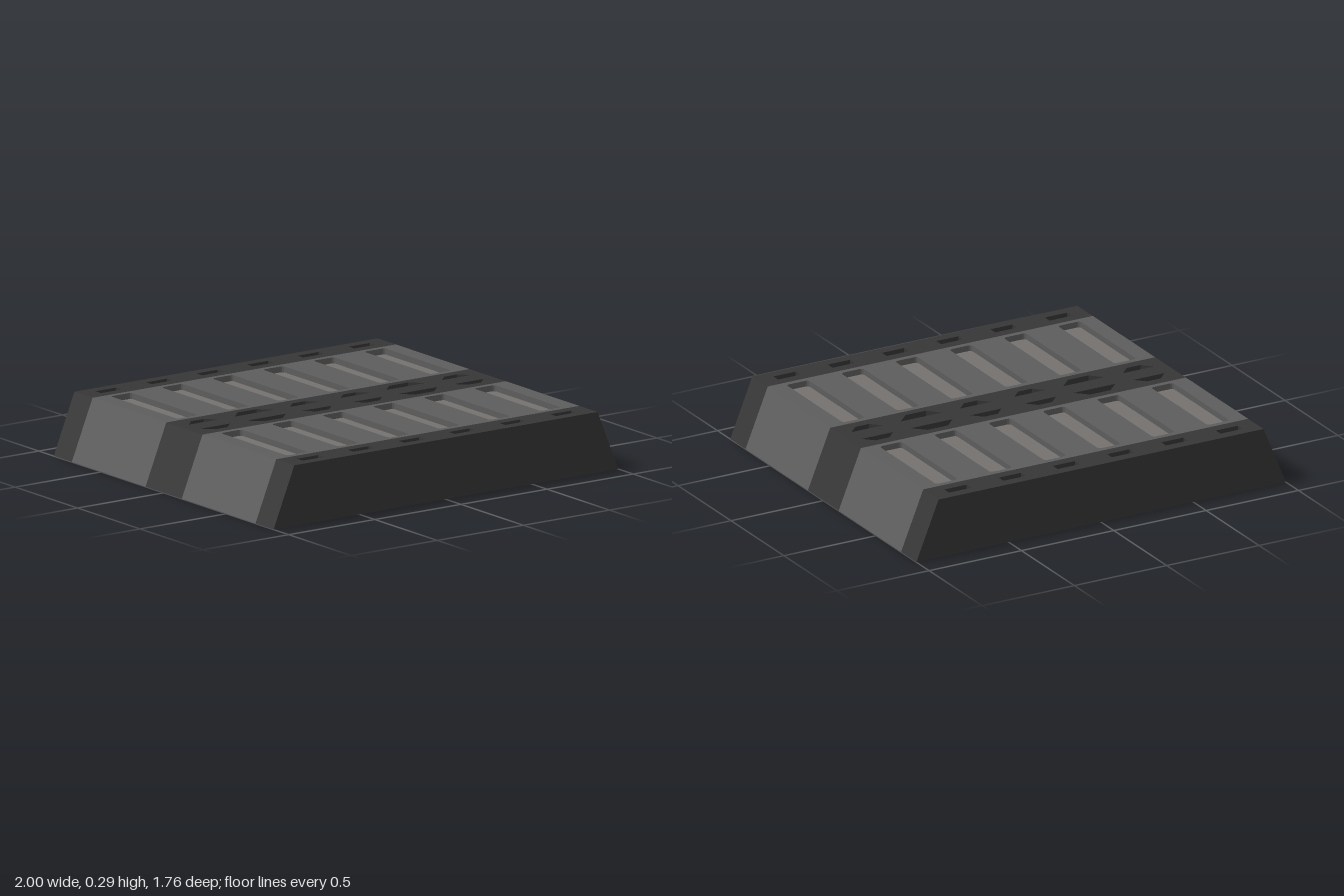
import * as THREE from 'three';

const H = 0.294, DEPTH = 0.03;       // total height, recess depth
const TOP = 0.88, BASE = 1;          // half widths at top and base
const LEDGE = TOP + (BASE - TOP) * DEPTH / H; // half width at recess floor level
const COLUMNS = [-0.735, -0.44, -0.147, 0.147, 0.44, 0.735];

const dark = new THREE.MeshStandardMaterial({ color: 0x363636, flatShading: true });
const light = new THREE.MeshStandardMaterial({ color: 0x5d5d5d, flatShading: true });
const floorMat = new THREE.MeshStandardMaterial({ color: 0x74716f, flatShading: true });

// Plan-view shape from [x, z] corners, always counter-clockwise
function polygon(corners) {
  const pts = corners.map(([x, z]) => new THREE.Vector2(x, -z));
  return new THREE.Shape(THREE.ShapeUtils.isClockWise(pts) ? pts.reverse() : pts);
}

// Rectangle with small rounded corners
function slot(cx, z0, z1, w, r) {
  const pts = [];
  const cz = (z0 + z1) / 2, hx = w / 2 - r, hz = (z1 - z0) / 2 - r;
  [[1, 1], [-1, 1], [-1, -1], [1, -1]].forEach(([sx, sz], q) => {
    for (let i = 0; i <= 3; i++) {
      const a = (q + i / 3) * Math.PI / 2;
      pts.push([cx + sx * hx + r * Math.cos(a), cz + sz * hz + r * Math.sin(a)]);
    }
  });
  return polygon(pts);
}

const rect = (x0, x1, z0, z1) => polygon([[x0, z0], [x1, z0], [x1, z1], [x0, z1]]);

// Half-hexagon recess, wide edge towards the centre line
function halfHex(cx, side, large) {
  const inner = large ? 0.113 : 0.085, outer = large ? 0.055 : 0.037;
  const z0 = 0.048 * side, z1 = (large ? 0.105 : 0.096) * side;
  return polygon([[cx - inner, z0], [cx + inner, z0], [cx + outer, z1], [cx - outer, z1]]);
}

// One band across the width: sloped body, pierced top plate and recess floors
function makeBand(name, z0, z1, material, recesses) {
  const band = new THREE.Group();
  band.name = name;

  const y = H - DEPTH;
  const section = new THREE.Shape([[-BASE, 0.001], [BASE, 0.001], [LEDGE, y], [-LEDGE, y]]
    .map(([px, py]) => new THREE.Vector2(px, py)));
  const bodyGeo = new THREE.ExtrudeGeometry(section, { depth: z1 - z0, bevelEnabled: false });
  const body = new THREE.Mesh(bodyGeo.translate(0, 0, z0), material);
  body.name = name + 'Body';

  const outline = rect(-TOP, TOP, z0, z1);
  outline.holes = recesses;
  const plateGeo = new THREE.ExtrudeGeometry(outline, { depth: DEPTH, bevelEnabled: false });
  plateGeo.rotateX(-Math.PI / 2);
  // Flare the lower outer edge so the plate continues the slope
  const p = plateGeo.attributes.position;
  for (let i = 0; i < p.count; i++) {
    if (Math.abs(p.getX(i)) > TOP - 0.001 && p.getY(i) < DEPTH / 2) p.setX(i, Math.sign(p.getX(i)) * LEDGE);
  }
  plateGeo.computeVertexNormals();
  const plate = new THREE.Mesh(plateGeo.translate(0, y, 0), material);
  plate.name = name + 'Plate';

  const floorGeo = new THREE.ShapeGeometry(recesses).rotateX(-Math.PI / 2).translate(0, y + 0.001, 0);
  const floors = new THREE.Mesh(floorGeo, floorMat);
  floors.name = name + 'RecessFloors';

  band.add(body, plate, floors);
  return band;
}

export function createModel() {
  const group = new THREE.Group();
  group.name = 'slottedBlock';

  // Centre band with paired half-hexagon recesses
  const hexes = COLUMNS.flatMap((x) => [-1, 1].map((s) => halfHex(x, s, Math.abs(x) === 0.44)));
  group.add(makeBand('centreBand', -0.145, 0.145, dark, hexes));

  // Mirrored slot panels and end bands
  for (const [side, s] of [['front', 1], ['back', -1]]) {
    const span = (a, b) => (s > 0 ? [a, b] : [-b, -a]);
    const long = COLUMNS.map((x) => slot(x, ...span(0.172, 0.708), 0.12, 0.016));
    group.add(makeBand(side + 'Panel', ...span(0.145, 0.735), light, long));
    const small = COLUMNS.map((x) => rect(x - 0.06, x + 0.06, ...span(0.785, 0.83)));
    group.add(makeBand(side + 'EndBand', ...span(0.735, 0.88), dark, small));
  }

  // Single dark underside
  const underside = new THREE.Mesh(new THREE.PlaneGeometry(2 * BASE, 2 * TOP).rotateX(Math.PI / 2), dark);
  underside.name = 'underside';
  group.add(underside);
  return group;
}
